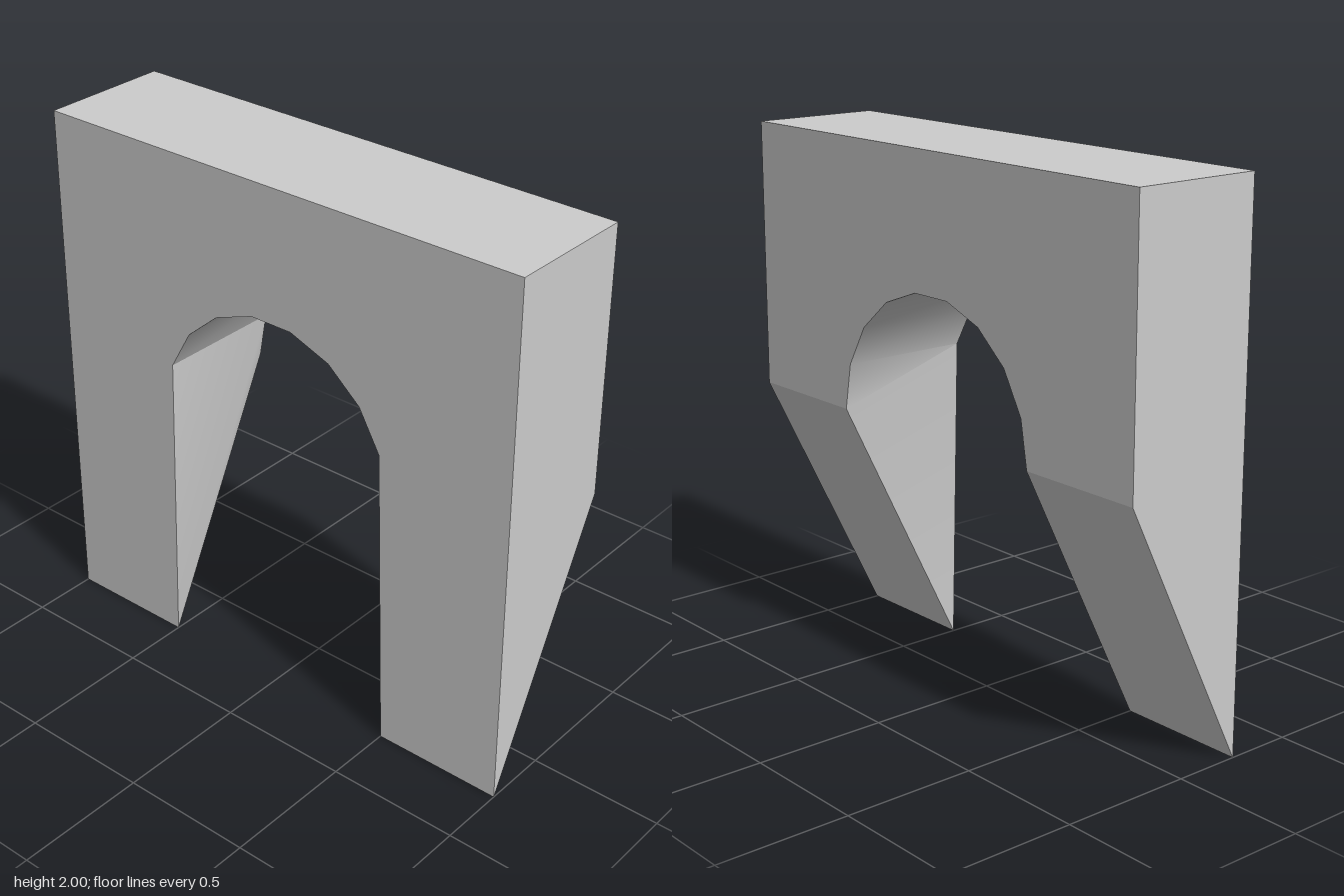
import * as THREE from 'three';
import { toCreasedNormals } from 'three/addons/utils/BufferGeometryUtils.js';

const DEPTH = 0.5;
const SPRING_Y = 1; // height where the back of each leg ends

export function createModel() {
  const group = new THREE.Group();
  group.name = 'archway';

  // Outline of the wall with the faceted arch opening
  const shape = new THREE.Shape();
  shape.moveTo(0.5, 0);
  shape.lineTo(1, 0);
  shape.lineTo(1, 2);
  shape.lineTo(-1, 2);
  shape.lineTo(-1, 0);
  shape.lineTo(-0.5, 0);
  const rise = 0.5 / Math.sin(THREE.MathUtils.degToRad(80));
  for (let deg = 160; deg >= 20; deg -= 20) {
    const a = THREE.MathUtils.degToRad(deg);
    shape.lineTo(0.5 * Math.cos(a), SPRING_Y + rise * Math.sin(a));
  }
  shape.closePath();

  const geometry = new THREE.ExtrudeGeometry(shape, { depth: DEPTH, bevelEnabled: false });
  geometry.translate(0, 0, -DEPTH / 2);

  // Raise the back of the feet so the legs taper to a front edge
  const pos = geometry.attributes.position;
  for (let i = 0; i < pos.count; i++) {
    if (pos.getZ(i) < 0 && pos.getY(i) < 0.01) pos.setY(i, SPRING_Y);
  }

  // Smooth arch soffit, sharp edges elsewhere
  const arch = new THREE.Mesh(
    toCreasedNormals(geometry, 0.42),
    new THREE.MeshStandardMaterial({ color: 0xcccccc })
  );
  arch.name = 'archWall';
  group.add(arch);
  return group;
}
